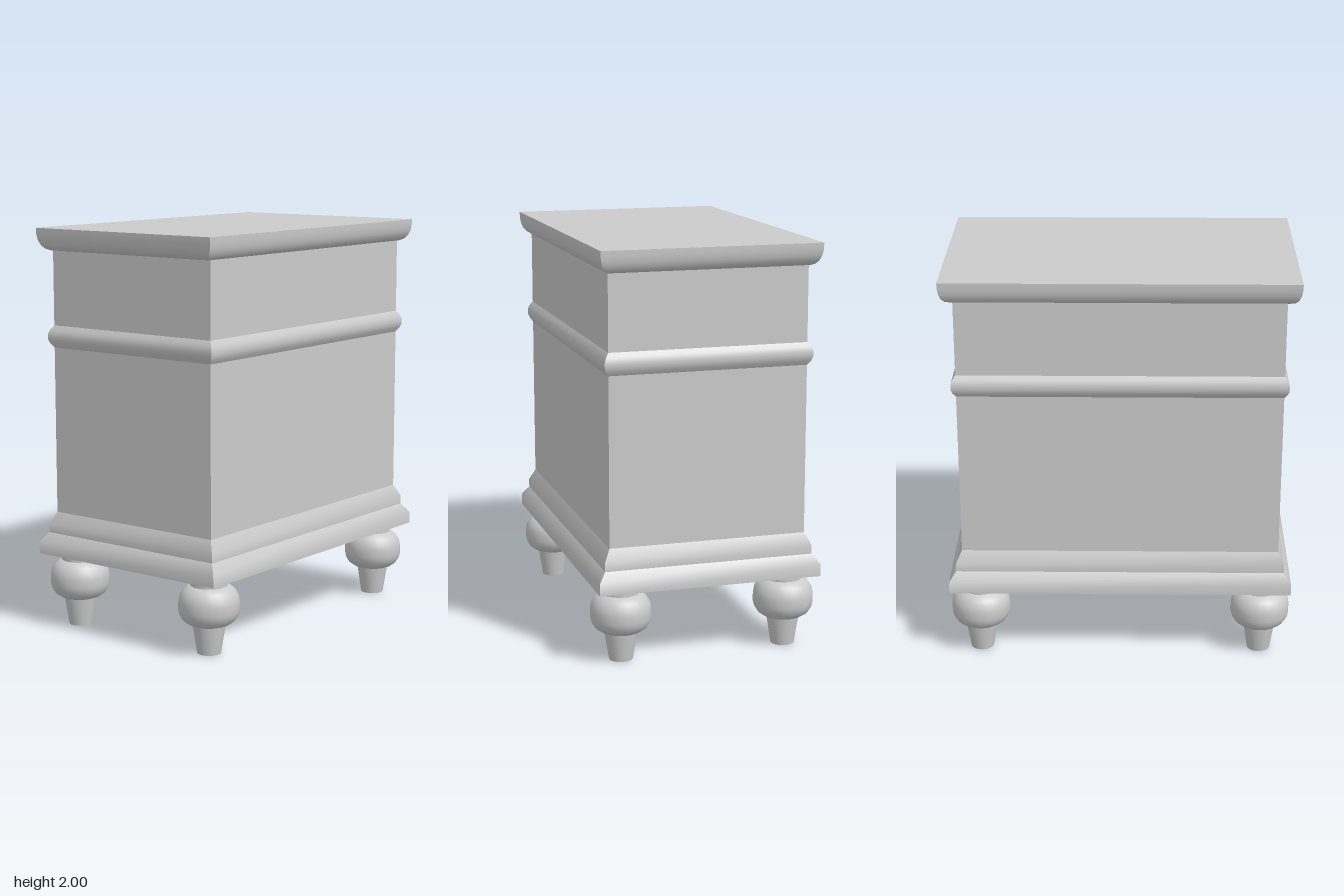
import * as THREE from 'three';
import { mergeGeometries, toCreasedNormals } from 'three/addons/utils/BufferGeometryUtils.js';

const material = new THREE.MeshStandardMaterial({ color: 0xcccccc });
const HALF_X = 0.49, HALF_Z = 0.79; // half size of the cabinet body
const CREASE = Math.PI / 4;

// Corners of the body outline, counter-clockwise seen from above
const CORNERS = [[-1, 1], [1, 1], [1, -1], [-1, -1]];

function facets(quads) {
  const positions = [];
  for (const [a, b, c, d] of quads) positions.push(...a, ...b, ...c, ...a, ...c, ...d);
  const geometry = new THREE.BufferGeometry();
  geometry.setAttribute('position', new THREE.Float32BufferAttribute(positions, 3));
  return toCreasedNormals(geometry, CREASE);
}

// Closed moulding with mitred corners; profile is [overhang, y] from bottom to top
function moulding(name, profile) {
  const at = (corner, [out, y]) => {
    const [sx, sz] = CORNERS[corner % 4];
    return [sx * (HALF_X + out), y, sz * (HALF_Z + out)];
  };
  const parts = [];
  for (let s = 0; s < 4; s++) {
    const quads = [];
    for (let i = 0; i < profile.length - 1; i++) {
      const low = profile[i], high = profile[i + 1];
      quads.push([at(s, low), at(s + 1, low), at(s + 1, high), at(s, high)]);
    }
    parts.push(facets(quads));
  }
  const bottom = profile[0], top = profile[profile.length - 1];
  parts.push(facets([[0, 1, 2, 3].map((c) => at(c, top))]));
  parts.push(facets([[3, 2, 1, 0].map((c) => at(c, bottom))]));
  const mesh = new THREE.Mesh(mergeGeometries(parts), material);
  mesh.name = name;
  return mesh;
}

// Turned foot: tapered peg, round bulb and short neck
function footGeometry() {
  const profile = [
    [0, 0], [0.058, 0], [0.08, 0.14], [0.1, 0.147], [0.126, 0.165], [0.142, 0.19],
    [0.148, 0.215], [0.148, 0.255], [0.143, 0.285], [0.126, 0.312], [0.105, 0.33],
    [0.09, 0.335], [0.09, 0.375], [0, 0.375],
  ].map(([r, y]) => new THREE.Vector2(r, y));
  return toCreasedNormals(new THREE.LatheGeometry(profile, 24), CREASE);
}

export function createModel() {
  const model = new THREE.Group();
  model.name = 'cabinet';

  // Plain body
  const body = new THREE.Mesh(new THREE.BoxGeometry(HALF_X * 2, 1.5, HALF_Z * 2), material);
  body.name = 'body';
  body.position.y = 1.17;
  model.add(body);

  // Stepped base, waist band and overhanging top
  model.add(
    moulding('lowerPlinth', [[0.065, 0.37], [0.065, 0.43], [0.03, 0.477]]),
    moulding('upperPlinth', [[0.03, 0.477], [0.03, 0.52], [0, 0.58]]),
    moulding('waistBand', [[0, 1.41], [0.015, 1.432], [0.022, 1.45], [0.023, 1.465],
      [0.022, 1.48], [0.015, 1.498], [0, 1.52]]),
    moulding('top', [[0, 1.89], [0.018, 1.898], [0.033, 1.915], [0.043, 1.94],
      [0.048, 1.97], [0.049, 2]]),
  );
  model.getObjectByName('top').scale.set(1.002, 1, 1.02);

  // Four feet
  const foot = footGeometry();
  for (const [sx, sz] of CORNERS) {
    const mesh = new THREE.Mesh(foot, material);
    mesh.name = (sz > 0 ? 'front' : 'back') + (sx > 0 ? 'Left' : 'Right') + 'Foot';
    mesh.position.set(sx * 0.415, 0, sz * 0.71);
    model.add(mesh);
  }
  return model;
}
